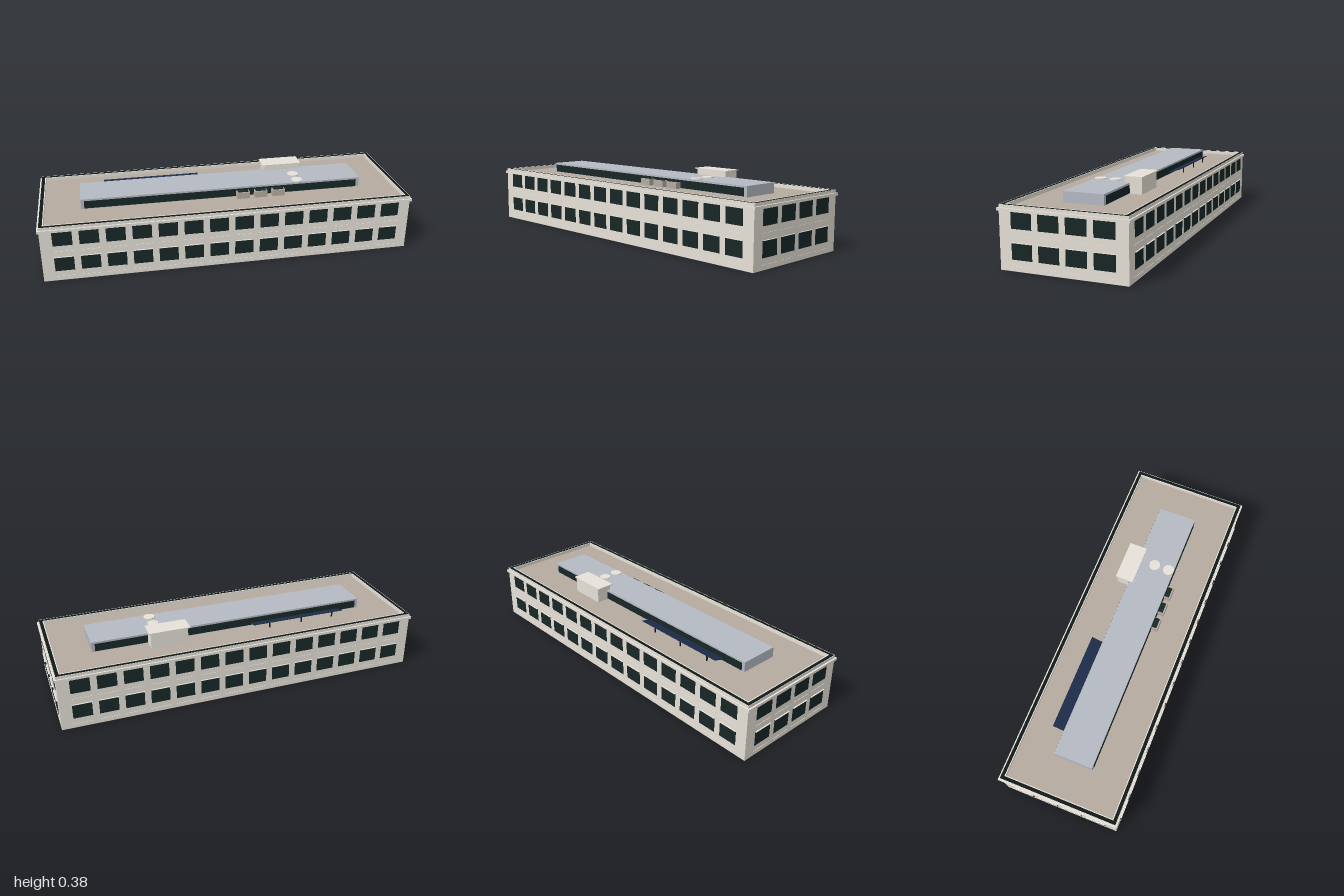
import * as THREE from 'three';

const mat = (name, color) => {
  const m = new THREE.MeshStandardMaterial({ color });
  m.name = name;
  return m;
};

export function createModel() {
  const wall = mat('limestone', 0xe6e1d8);
  const gravel = mat('roof gravel', 0xb5aba0);
  const metal = mat('blue grey metal', 0xb5bac3);
  const glass = mat('dark glass', 0x182727);
  const solar = mat('navy panel', 0x1e2e4c);
  const dark = mat('dark gutter', 0x101818);
  const base = mat('foundation', 0x928b82);

  const model = new THREE.Group();
  model.name = 'officeBuilding';

  const add = (parent, name, geo, material, x = 0, y = 0, z = 0) => {
    const m = new THREE.Mesh(geo, material);
    m.name = name;
    m.position.set(x, y, z);
    parent.add(m);
    return m;
  };
  // box given by its limits
  const box = (parent, name, material, x0, x1, y0, y1, z0, z1) =>
    add(parent, name, new THREE.BoxGeometry(x1 - x0, y1 - y0, z1 - z0), material,
      (x0 + x1) / 2, (y0 + y1) / 2, (z0 + z1) / 2);

  // horizontal rectangular ring around the roof edge
  const rect = (outline, a, b) =>
    outline.moveTo(-a, -b).lineTo(a, -b).lineTo(a, b).lineTo(-a, b).closePath();
  const ring = (name, material, hx, hz, t, y0, y1) => {
    const shape = rect(new THREE.Shape(), hx, hz);
    shape.holes.push(rect(new THREE.Path(), hx - t, hz - t));
    const g = new THREE.ExtrudeGeometry(shape, { depth: y1 - y0, bevelEnabled: false });
    g.rotateX(-Math.PI / 2);
    add(model, name, g, material, 0, y0, 0);
  };

  // main block, roof and parapet with a sunken dark gutter
  const HX = 0.99, HZ = 0.322;
  box(model, 'foundation', base, -HX, HX, 0, 0.001, -HZ, HZ);
  box(model, 'body', wall, -HX, HX, 0.001, 0.288, -HZ, HZ);
  box(model, 'roofDeck', gravel, -0.965, 0.965, 0.288, 0.293, -0.297, 0.297);
  ring('parapet', wall, HX, HZ, 0.025, 0.286, 0.31);
  ring('parapetOuterLip', wall, HX, HZ, 0.002, 0.31, 0.3125);
  ring('gutter', dark, HX - 0.002, HZ - 0.002, 0.018, 0.31, 0.3115);
  ring('parapetInnerLip', wall, HX - 0.02, HZ - 0.02, 0.005, 0.31, 0.3125);
  ring('cornice', wall, 0.999, 0.33, 0.011, 0.283, 0.297);

  // facades: two rows of windows, with panel ledges and thin shades
  const facade = (name, count, pitch, width, dist, turn) => {
    const g = new THREE.Group();
    g.name = name;
    g.rotation.y = turn;
    for (let i = 0; i < count; i++) {
      const x = (i - (count - 1) / 2) * pitch;
      const x0 = x - width / 2, x1 = x + width / 2;
      for (const y of [0.097, 0.243]) {
        box(g, 'windowPane', glass, x0, x1, y - 0.04, y + 0.04, dist - 0.002, dist + 0.002);
        box(g, 'panelLedge', wall, x0 - 0.002, x1 + 0.002, y - 0.074, y - 0.072, dist - 0.001, dist + 0.002);
      }
      box(g, 'windowShade', wall, x0 - 0.001, x1 + 0.001, 0.1365, 0.138, dist - 0.001, dist + 0.007);
    }
    model.add(g);
  };
  facade('frontFacade', 14, 0.135, 0.1, HZ, 0);
  facade('backFacade', 14, 0.135, 0.1, HZ, Math.PI);
  facade('leftFacade', 4, 0.138, 0.105, HX, Math.PI / 2);
  facade('rightFacade', 4, 0.138, 0.105, HX, -Math.PI / 2);

  // long rooftop pavilion with glazed strips
  box(model, 'pavilion', metal, -0.774, 0.774, 0.293, 0.348, -0.1065, 0.1065);
  for (const s of [-1, 1]) {
    box(model, 'pavilionGlazing', glass, -0.757, 0.755, 0.296, 0.338, s * 0.107 - 0.0015, s * 0.107 + 0.0015);
  }

  // round vents
  for (const z of [-0.007, 0.076]) {
    add(model, 'roundVent', new THREE.CylinderGeometry(0.031, 0.031, 0.006, 24), wall, 0.418, 0.35, z);
  }

  // stair tower
  box(model, 'stairTower', wall, 0.272, 0.474, 0.293, 0.378, -0.175, -0.087);
  box(model, 'stairTowerCap', wall, 0.26, 0.483, 0.378, 0.383, -0.18, -0.08);

  // air units beside the pavilion
  for (const x of [0.101, 0.2, 0.299]) {
    box(model, 'airUnit', gravel, x - 0.035, x + 0.035, 0.293, 0.328, 0.1085, 0.143);
    box(model, 'airUnitTop', glass, x - 0.029, x + 0.029, 0.328, 0.331, 0.1085, 0.135);
  }

  // tilted solar array on legs
  const array = box(model, 'solarArray', solar, -0.64, -0.105, 0.315, 0.319, -0.175, -0.109);
  array.rotation.x = 0.3;
  for (const x of [-0.58, -0.39, -0.2]) {
    box(model, 'solarLeg', dark, x - 0.003, x + 0.003, 0.293, 0.322, -0.168, -0.162);
  }
  return model;
}
